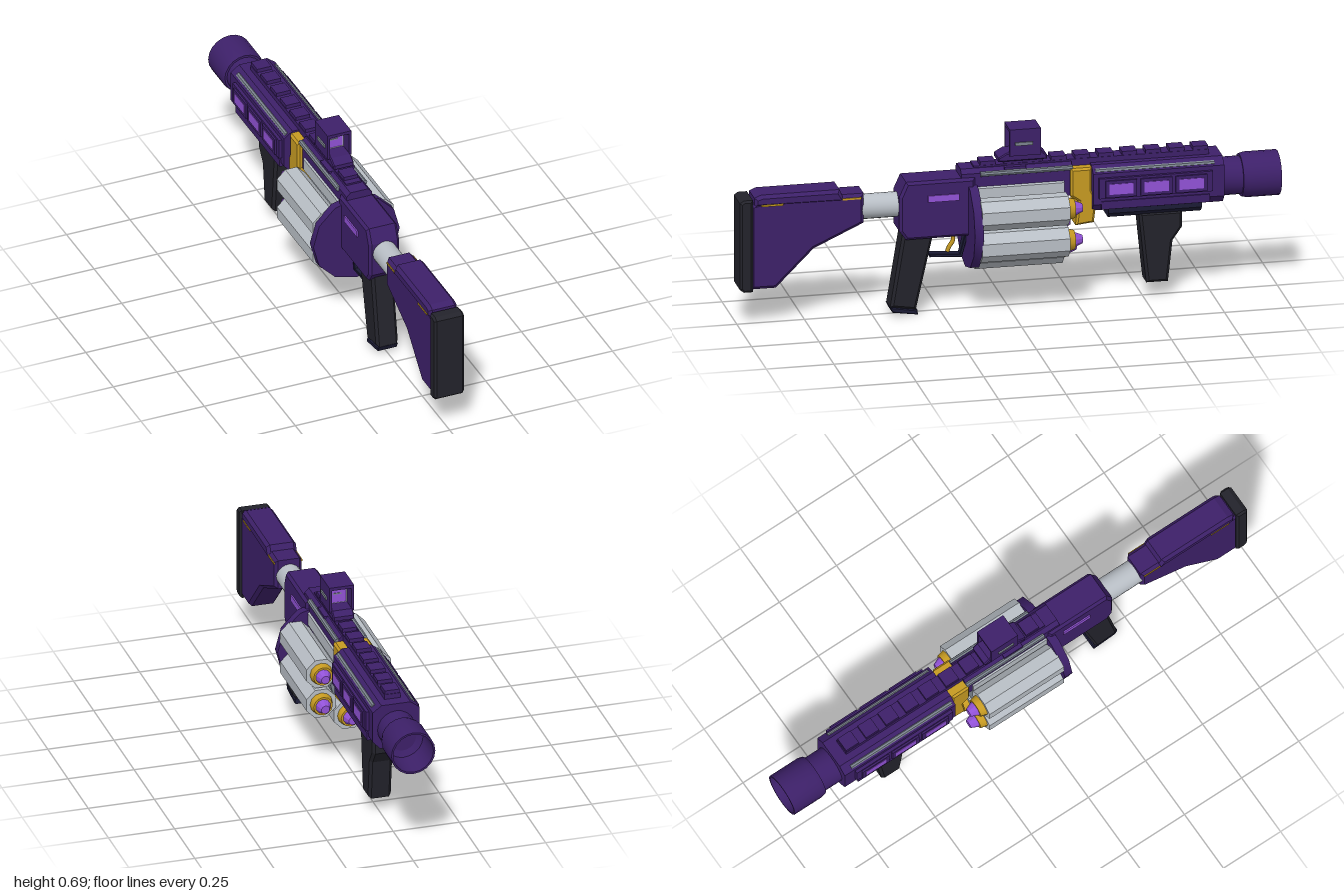
import * as THREE from 'three';
import { toCreasedNormals } from 'three/addons/utils/BufferGeometryUtils.js';

const mat = (name, color) => {
  const m = new THREE.MeshStandardMaterial({ color });
  m.name = name;
  return m;
};

export function createModel() {
  const root = new THREE.Group();
  root.name = 'launcher';
  const purple = mat('deep purple', 0x3d2069);
  const black = mat('black rubber', 0x23232b);
  const navy = mat('dark navy', 0x1c1c36);
  const silver = mat('light silver', 0xb9bfc6);
  const grey = mat('steel grey', 0x7c848f);
  const gold = mat('gold', 0xc69a22);
  const violet = mat('bright violet', 0x9152d6);

  const add = (name, geo, m) => {
    const mesh = new THREE.Mesh(geo, m);
    mesh.name = name;
    root.add(mesh);
    return mesh;
  };
  // Box given by its limits on each axis
  const box = (name, m, x0, x1, y0, y1, z0, z1) => {
    const g = new THREE.BoxGeometry(x1 - x0, y1 - y0, z1 - z0);
    return add(name, g.translate((x0 + x1) / 2, (y0 + y1) / 2, (z0 + z1) / 2), m);
  };
  const shapeOf = pts => new THREE.Shape(pts.map(p => new THREE.Vector2(p[0], p[1])));
  const bevelled = (shape, depth, b) => new THREE.ExtrudeGeometry(shape, {
    depth: depth - 2 * b, bevelEnabled: b > 0, bevelSize: b, bevelThickness: b,
    bevelOffset: -b, bevelSegments: 1, curveSegments: 6,
  }).translate(0, 0, b);
  // Side profile in (z, y), extruded to half width w
  const profile = (name, m, pts, w, b = 0.01) =>
    add(name, bevelled(shapeOf(pts), 2 * w, b).translate(0, 0, -w).rotateY(-Math.PI / 2), m);
  // Cross-section in (x, y), extruded from z0 to z1
  const section = (name, m, pts, z0, z1, b = 0) =>
    add(name, bevelled(shapeOf(pts), z1 - z0, b).translate(0, 0, z0), m);
  // Cylinder along z; r0 is the radius at z0
  const rod = (name, m, x, y, r0, r1, z0, z1, sides = 16, turn = 0) => {
    const g = new THREE.CylinderGeometry(r1, r0, z1 - z0, sides);
    g.rotateY(turn).rotateX(Math.PI / 2).translate(x, y, (z0 + z1) / 2);
    return add(name, toCreasedNormals(g, 0.55), m);
  };

  // Stock
  profile('stock', purple, [[0.96, 0.47], [0.9, 0.483], [0.54, 0.483], [0.54, 0.37], [0.725, 0.285],
    [0.865, 0.145], [0.96, 0.145]], 0.052, 0.012);
  profile('cheekRest', purple, [[0.945, 0.46], [0.945, 0.495], [0.92, 0.505], [0.63, 0.505], [0.61, 0.46]], 0.056, 0.012);
  profile('buttPad', black, [[1, 0.15], [1, 0.48], [0.985, 0.49], [0.952, 0.49], [0.952, 0.138], [0.985, 0.138]], 0.059, 0.008);
  for (const s of [-1, 1]) {
    box('stockTrim', gold, s * 0.054 - 0.003, s * 0.054 + 0.003, 0.463, 0.47, 0.84, 0.92);
    box('stockTrim', gold, s * 0.051 - 0.003, s * 0.051 + 0.003, 0.465, 0.472, 0.55, 0.62);
  }
  rod('bufferTube', silver, 0, 0.418, 0.046, 0.046, 0.39, 0.56, 20);

  // Receiver and spine over the drum
  profile('receiver', purple, [[0.41, 0.33], [0.41, 0.46], [0.385, 0.516], [0.13, 0.516], [0.13, 0.295], [0.385, 0.295]], 0.06, 0.01);
  section('spine', purple, [[-0.05, 0.42], [0.05, 0.42], [0.05, 0.53], [0.035, 0.546], [-0.035, 0.546], [-0.05, 0.53]], -0.23, 0.18);
  for (const s of [-1, 1]) {
    box('receiverLight', violet, s * 0.061 - 0.004, s * 0.061 + 0.004, 0.437, 0.462, 0.19, 0.305);
    rod('spineRod', grey, s * 0.052, 0.527, 0.01, 0.01, -0.23, 0.11, 8);
    rod('shroudRod', grey, s * 0.072, 0.514, 0.01, 0.01, -0.75, -0.31, 8);
  }

  // Drum: rear plate, core and six chambers with loaded rounds
  rod('drumPlate', purple, 0, 0.33, 0.17, 0.17, 0.122, 0.155, 12, Math.PI / 2);
  rod('drumCore', grey, 0, 0.33, 0.065, 0.065, -0.19, 0.13, 12);
  for (let i = 0; i < 6; i++) {
    const a = Math.PI / 6 + i * Math.PI / 3;
    const x = 0.12 * Math.cos(a), y = 0.33 + 0.12 * Math.sin(a);
    rod('chamber', silver, x, y, 0.06, 0.06, -0.2, 0.125, 8, Math.PI / 8);
    rod('roundCollar', gold, x, y, 0.036, 0.043, -0.225, -0.198, 12);
    rod('roundTip', violet, x, y, 0.016, 0.03, -0.255, -0.222, 10);
  }

  // Gold bracket joining drum and shroud
  profile('bracket', gold, [[-0.222, 0.526], [-0.3, 0.526], [-0.3, 0.44], [-0.318, 0.4], [-0.308, 0.315],
    [-0.24, 0.308], [-0.25, 0.4], [-0.222, 0.42]], 0.067, 0.008);

  // Fore shroud with side panels and lit windows
  section('shroud', purple, [[-0.06, 0.36], [0.06, 0.36], [0.088, 0.39], [0.088, 0.508], [0.055, 0.533],
    [-0.055, 0.533], [-0.088, 0.508], [-0.088, 0.39]], -0.785, -0.3);
  for (const s of [-1, 1]) {
    box('sidePanel', purple, s * 0.09 - 0.01, s * 0.09 + 0.01, 0.415, 0.492, -0.74, -0.32);
    box('lowerRib', purple, s * 0.085 - 0.008, s * 0.085 + 0.008, 0.372, 0.402, -0.73, -0.33);
    for (const z of [-0.4, -0.53, -0.66]) {
      box('windowFrame', purple, s * 0.1 - 0.007, s * 0.1 + 0.007, 0.42, 0.484, z - 0.058, z + 0.058);
      box('window', violet, s * 0.106 - 0.003, s * 0.106 + 0.003, 0.432, 0.472, z - 0.045, z + 0.045);
    }
  }

  // Top rail
  box('rail', purple, -0.03, 0.03, 0.525, 0.552, -0.74, 0.13);
  for (let i = 0; i < 10; i++) {
    const z = -0.71 + i * 0.0875;
    box('railTooth', purple, -0.028, 0.028, 0.55, 0.566, z - 0.028, z + 0.028);
  }

  // Barrel and open muzzle
  rod('barrel', purple, 0, 0.435, 0.07, 0.07, -0.87, -0.78, 20);
  const rim = [[0, 0.72], [0.045, 0.72], [0.05, 0.87], [0.073, 0.88], [0.076, 1], [0.083, 1],
    [0.083, 0.88], [0.078, 0.86], [0.06, 0.86]];
  const muzzle = new THREE.LatheGeometry(rim.map(p => new THREE.Vector2(p[0], p[1])), 20);
  add('muzzle', toCreasedNormals(muzzle.rotateX(-Math.PI / 2).translate(0, 0.435, 0), 0.55), purple)
    .material.side = THREE.DoubleSide;

  // Foregrip on its under rail
  section('underRail', navy, [[-0.035, 0.322], [0.035, 0.322], [0.05, 0.34], [0.05, 0.365], [-0.05, 0.365], [-0.05, 0.34]], -0.71, -0.365);
  profile('foregrip', black, [[-0.48, 0.33], [-0.64, 0.33], [-0.64, 0.265], [-0.605, 0.215], [-0.588, 0.06],
    [-0.508, 0.06], [-0.5, 0.13]], 0.043, 0.01);

  // Pistol grip, trigger and guard
  profile('pistolGrip', black, [[0.395, 0.31], [0.28, 0.31], [0.345, 0.02], [0.44, 0.035]], 0.043, 0.01);
  profile('gripCap', navy, [[0.442, 0.036], [0.34, 0.02], [0.337, 0.001], [0.432, 0.015]], 0.04, 0.004);
  const tube = (name, m, pts, r) => add(name, new THREE.TubeGeometry(
    new THREE.CatmullRomCurve3(pts.map(p => new THREE.Vector3(0, p[1], p[0]))), 10, r, 6), m);
  tube('trigger', gold, [[0.205, 0.3], [0.2, 0.265], [0.215, 0.24], [0.222, 0.222]], 0.008);
  profile('triggerGuard', navy, [[0.29, 0.222], [0.29, 0.21], [0.17, 0.203], [0.145, 0.3], [0.157, 0.3], [0.178, 0.215]], 0.018, 0.002);

  // Reflex sight
  box('sightClamp', purple, -0.05, 0.05, 0.515, 0.546, -0.06, 0.02);
  rod('sightNeck', purple, 0, 0.555, 0.027, 0.027, -0.1, 0, 10);
  profile('sightBase', purple, [[0.04, 0.563], [0.04, 0.578], [0.01, 0.595], [-0.12, 0.595], [-0.14, 0.578], [-0.14, 0.563]], 0.04, 0.004);
  const hood = shapeOf([[-0.047, 0.585], [0.047, 0.585], [0.047, 0.686], [-0.047, 0.686]]);
  hood.holes.push(new THREE.Path([[-0.037, 0.593], [-0.037, 0.674], [0.037, 0.674], [0.037, 0.593]].map(p => new THREE.Vector2(...p))));
  add('sightHood', bevelled(hood, 0.115, 0).translate(0, 0, -0.115), purple);
  const frame = shapeOf([[-0.038, 0.592], [0.038, 0.592], [0.038, 0.675], [-0.038, 0.675]]);
  frame.holes.push(new THREE.Path([[-0.034, 0.596], [-0.034, 0.671], [0.034, 0.671], [0.034, 0.596]].map(p => new THREE.Vector2(...p))));
  add('lensFrame', bevelled(frame, 0.01, 0).translate(0, 0, -0.06), silver);
  box('lens', violet, -0.036, 0.036, 0.594, 0.673, -0.058, -0.053);
  box('reticle', grey, -0.016, 0.016, 0.629, 0.634, -0.06, -0.05);
  for (const s of [-1, 1]) {
    box('sightKnob', grey, s * 0.049 - 0.003, s * 0.049 + 0.003, 0.625, 0.637, -0.085, -0.02);
  }
  return root;
}
